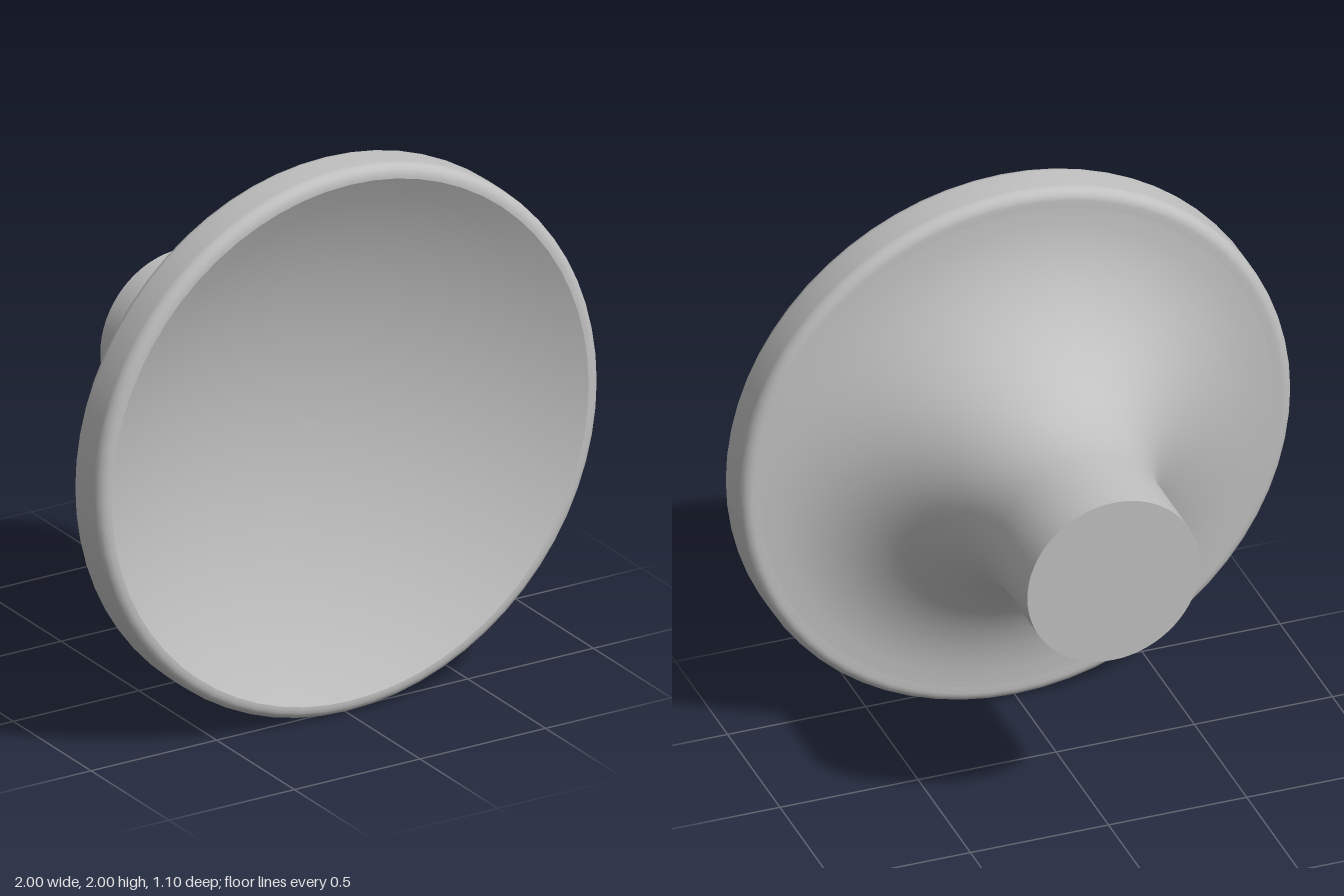
import * as THREE from 'three';

const SEGMENTS = 64;

// Points along a circular arc as (radius, z) pairs
function arc(cr, cz, radius, from, to, steps) {
  return Array.from({ length: steps + 1 }, (_, i) => {
    const a = from + ((to - from) * i) / steps;
    return new THREE.Vector2(cr + radius * Math.cos(a), cz + radius * Math.sin(a));
  });
}

export function createModel() {
  const group = new THREE.Group();
  group.name = 'dishedKnob';
  const grey = new THREE.MeshStandardMaterial({ color: 0xc0c0c0 });
  grey.name = 'plain grey';

  // Revolve a profile around the front-to-back axis
  function turned(name, points) {
    const geometry = new THREE.LatheGeometry(points, SEGMENTS);
    geometry.rotateX(Math.PI / 2);
    const mesh = new THREE.Mesh(geometry, grey);
    mesh.name = name;
    mesh.position.y = 1;
    group.add(mesh);
  }

  // Stem flowing into the trumpet-shaped back
  const flareRadius = 0.62;
  turned('stemAndFlare', [
    new THREE.Vector2(0.313, -0.55),
    new THREE.Vector2(0.313, -0.4),
    ...arc(0.313 + flareRadius, -0.25, flareRadius, Math.PI, Math.PI / 2, 16),
  ]);

  // Rounded rim
  const round = 0.04;
  turned('rim', [
    new THREE.Vector2(0.933, 0.37),
    ...arc(1 - round, 0.37 + round, round, -Math.PI / 2, 0, 5),
    ...arc(1 - round, 0.55 - round, round, 0, Math.PI / 2, 5),
    new THREE.Vector2(0.95, 0.55),
  ]);

  // Shallow spherical hollow in the front
  const lip = 0.95, depth = 0.25;
  const sphere = (lip * lip + depth * depth) / (2 * depth);
  const spread = Math.asin(lip / sphere);
  const hollow = arc(0, 0.55 - depth + sphere, sphere, -Math.PI / 2 + spread, -Math.PI / 2, 12);
  hollow[hollow.length - 1].x = 0;
  turned('frontHollow', hollow);

  // Flat end of the stem
  const end = new THREE.Mesh(new THREE.CircleGeometry(0.313, SEGMENTS), grey);
  end.name = 'stemEnd';
  end.rotation.y = Math.PI;
  end.position.set(0, 1, -0.55);
  group.add(end);

  return group;
}
